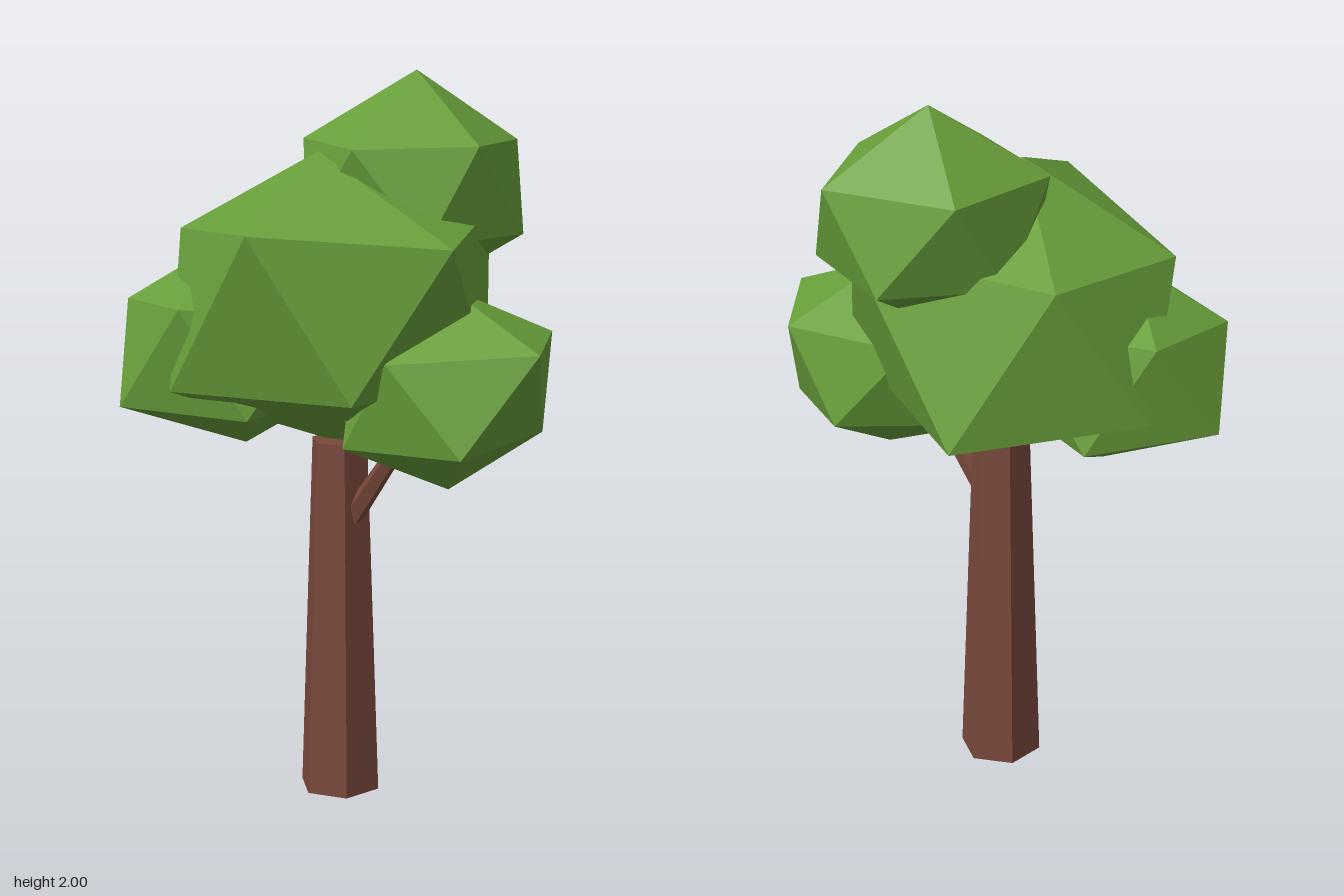
import * as THREE from 'three';
import { ConvexGeometry } from 'three/addons/geometries/ConvexGeometry.js';

const V = (p) => new THREE.Vector3(...p);

// Each leaf clump is a rough icosahedron: its tip, its upper ring of five
// corners, and the same six points mirrored through the centre.
const CLUMPS = [
  {
    name: 'mainLeaves', center: [-0.04, 1.395, 0.03],
    upper: [[-0.053, 1.8, 0.063], [-0.42, 1.565, 0.255], [0.14, 1.64, 0.458],
      [0.457, 1.6, 0.033], [0.13, 1.62, -0.39], [-0.41, 1.59, -0.205]],
  },
  {
    name: 'topLeaves', center: [0.022, 1.69, -0.205],
    upper: [[0.003, 2.0, -0.233], [0.14, 1.805, -0.48], [-0.22, 1.81, -0.367],
      [-0.222, 1.81, -0.02], [0.098, 1.82, 0.073], [0.29, 1.825, -0.204]],
  },
  {
    name: 'rightLeaves', center: [-0.29, 1.25, 0.18],
    upper: [[-0.31, 1.53, 0.21], [-0.543, 1.4, 0.036], [-0.508, 1.37, 0.374],
      [-0.17, 1.4, 0.447], [0.04, 1.37, 0.15], [-0.17, 1.405, -0.117]],
  },
  {
    name: 'leftLeaves', center: [0.305, 1.19, -0.09],
    upper: [[0.302, 1.465, -0.09], [0.616, 1.33, -0.126], [0.37, 1.307, 0.185],
      [0.13, 1.3, 0.09], [0.065, 1.31, -0.26], [0.398, 1.325, -0.378]],
  },
];

function leafClump({ name, center, upper }, material) {
  const c = V(center);
  const top = upper.map(V);
  const bottom = top.map((p) => c.clone().multiplyScalar(2).sub(p));
  const mesh = new THREE.Mesh(new ConvexGeometry([...top, ...bottom]), material);
  mesh.name = name;
  return mesh;
}

// Tapered prism between two points
function limb(name, from, to, r0, r1, sides, material) {
  const a = V(from), b = V(to);
  const dir = b.clone().sub(a);
  const geometry = new THREE.CylinderGeometry(r1, r0, dir.length(), sides).toNonIndexed();
  geometry.computeVertexNormals();
  const mesh = new THREE.Mesh(geometry, material);
  mesh.position.copy(a).add(b).multiplyScalar(0.5);
  mesh.quaternion.setFromUnitVectors(new THREE.Vector3(0, 1, 0), dir.normalize());
  mesh.name = name;
  return mesh;
}

export function createModel() {
  const bark = new THREE.MeshStandardMaterial({ color: 0x79483b });
  bark.name = 'bark brown';
  const leaf = new THREE.MeshStandardMaterial({ color: 0x689f3a });
  leaf.name = 'leaf green';

  const tree = new THREE.Group();
  tree.name = 'tree';

  // Hexagonal trunk and one side branch
  tree.add(limb('trunk', [-0.011, 0, 0.025], [-0.011, 1.01, 0.025], 0.115, 0.08, 6, bark));
  tree.add(limb('branch', [0.02, 0.77, 0.028], [0.25, 1.1, -0.02], 0.033, 0.02, 5, bark));

  // Crown
  for (const clump of CLUMPS) tree.add(leafClump(clump, leaf));
  return tree;
}
